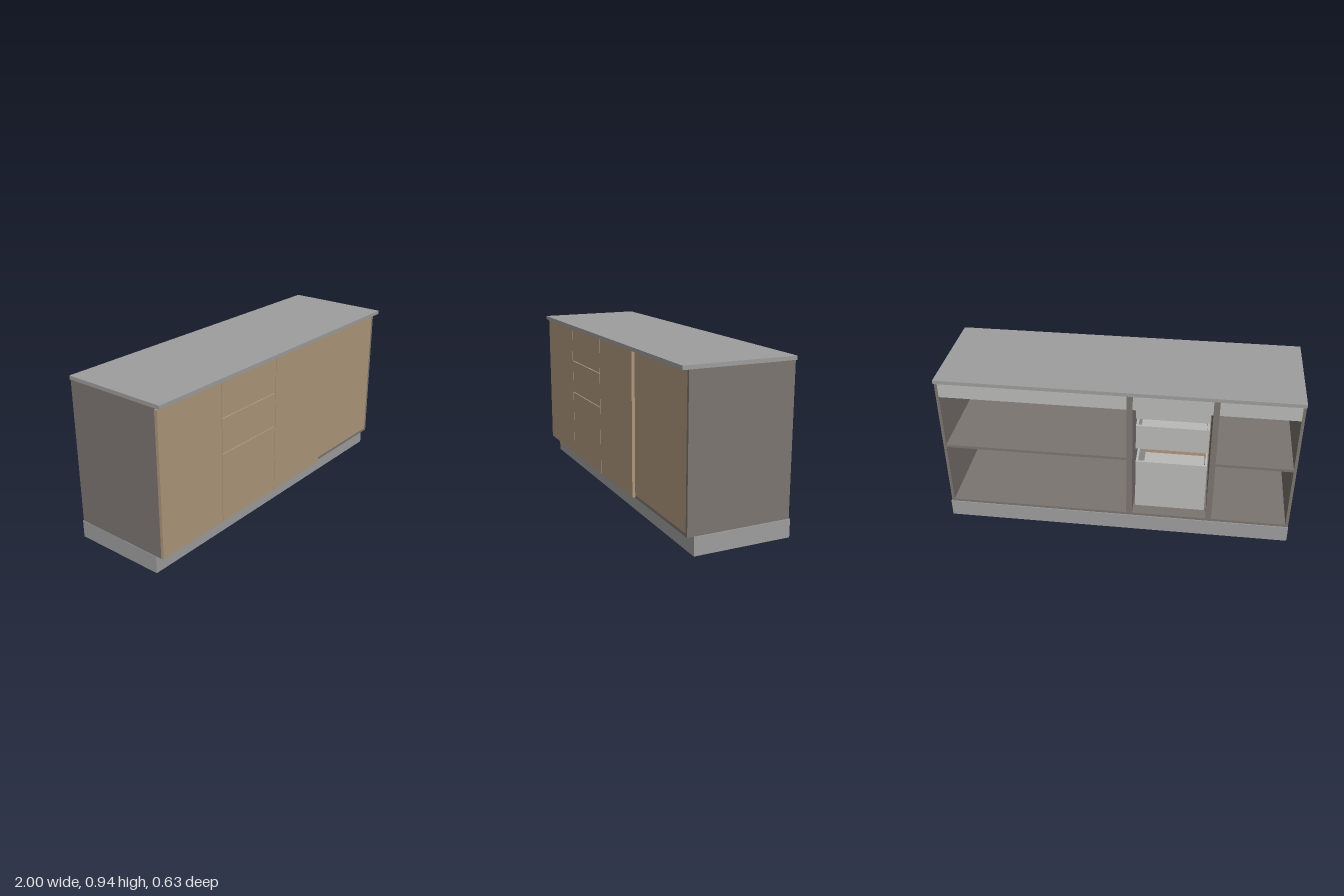
import * as THREE from 'three';

export function createModel() {
  const model = new THREE.Group();
  model.name = 'kitchenBaseUnits';

  const material = (name, color) => {
    const m = new THREE.MeshStandardMaterial({ color });
    m.name = name;
    return m;
  };
  const stone = material('greyWorktop', 0x9e9e9e);
  const board = material('taupeBoard', 0x7c7571);
  const wood = material('tanFront', 0xb0987c);
  const pale = material('paleGrey', 0xbabbb8);

  // Box given by its limits on each axis
  const box = (name, mat, [x0, x1], [y0, y1], [z0, z1], parent = model) => {
    const mesh = new THREE.Mesh(new THREE.BoxGeometry(x1 - x0, y1 - y0, z1 - z0), mat);
    mesh.position.set((x0 + x1) / 2, (y0 + y1) / 2, (z0 + z1) / 2);
    mesh.name = name;
    parent.add(mesh);
  };

  const T = 0.0165; // board thickness
  const back = -0.308, front = 0.277, base = 0.101, top = 0.924;

  box('worktop', stone, [-1, 1], [top, 0.945], [-0.313, 0.313]);
  box('plinth', stone, [-1, 1], [0, base], [-0.313, 0.242]);

  // Carcass open at the back: two sides, floor, rear top rail, optional shelf
  const cabinet = (name, x0, x1, hasShelf) => {
    const g = new THREE.Group();
    g.name = name;
    model.add(g);
    const inner = [x0 + T, x1 - T];
    box('rightSide', board, [x0, x0 + T], [base, top], [back, front], g);
    box('leftSide', board, [x1 - T, x1], [base, top], [back, front], g);
    box('floor', board, inner, [base, base + T], [back, front], g);
    box('rearRail', pale, inner, [0.838, top], [back, back + T], g);
    if (hasShelf) box('shelf', board, inner, [0.5, 0.5 + T], [back, front - T - 0.002], g);
  };
  cabinet('narrowCabinet', -0.998, -0.538, true);
  cabinet('drawerCabinet', -0.538, -0.075, false);
  cabinet('wideCabinet', -0.075, 0.995, true);

  // Doors and the inset blind panel
  const doorZ = [front + 0.0005, 0.295];
  box('narrowDoor', wood, [-0.998, -0.539], [0.105, 0.917], doorZ);
  box('middleDoor', wood, [-0.073, 0.385], [0.105, 0.917], doorZ);
  box('blindPanel', wood, [0.368, 0.995 - T], [base + T, top], [front - T, front]);

  // Drawers: front plate and an open box, listed as front limits then box limits
  const drawers = [
    [[0.105, 0.509], [0.12, 0.443]],
    [[0.514, 0.712], [0.535, 0.69]],
    [[0.717, 0.917], [0.737, 0.86]],
  ];
  const xl = -0.51, xr = -0.103, zb = -0.238, w = 0.013;
  for (const [face, [y0, y1]] of drawers) {
    const g = new THREE.Group();
    g.name = 'drawer';
    model.add(g);
    box('drawerFront', wood, [-0.535, -0.077], face, doorZ, g);
    box('drawerBottom', pale, [xl + w, xr - w], [y0, y0 + w], [zb + w, front], g);
    box('drawerBack', pale, [xl, xr], [y0, y1], [zb, zb + w], g);
    for (const x of [xl, xr - w]) box('drawerSide', pale, [x, x + w], [y0, y1], [zb + w, front], g);
  }

  return model;
}
